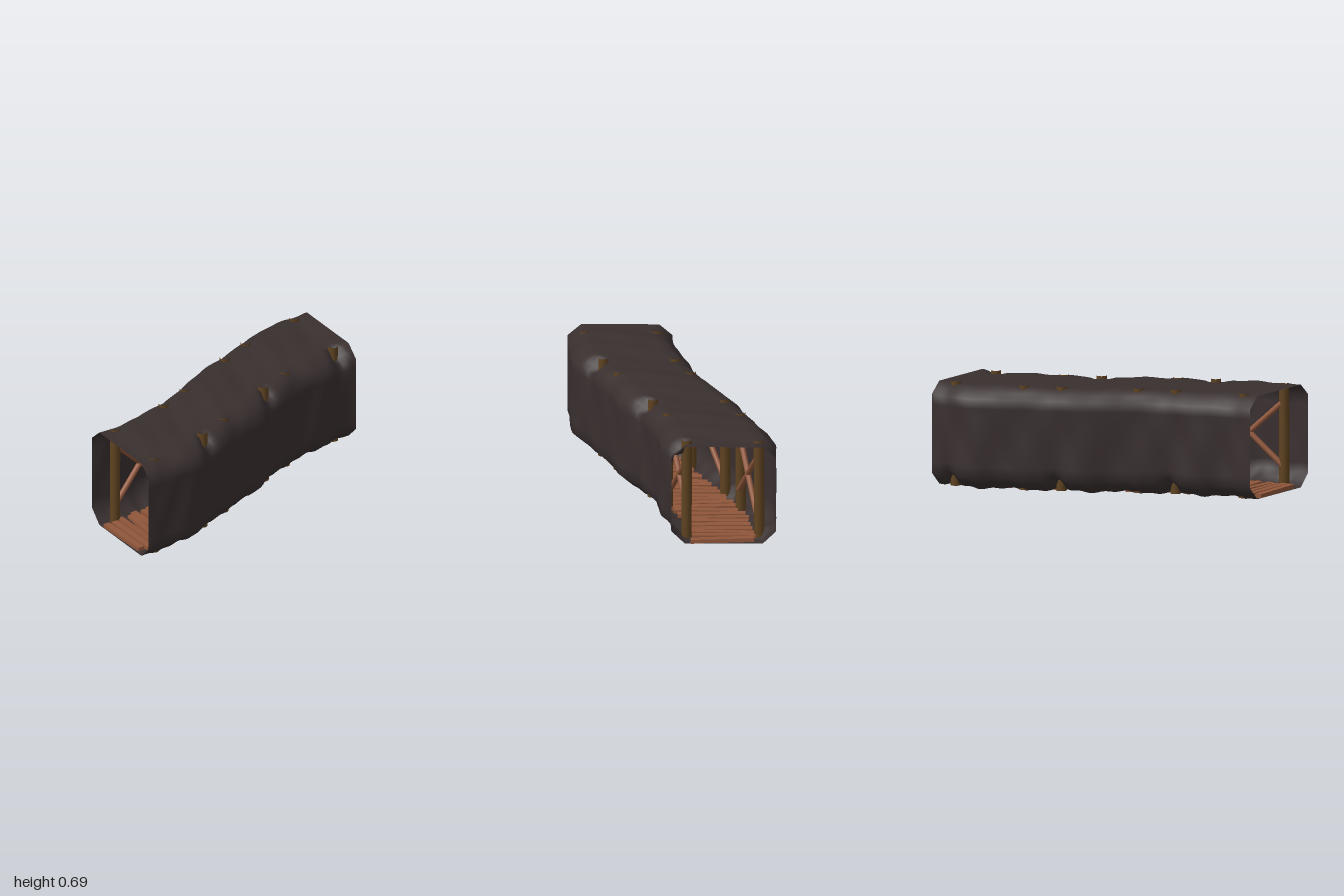
import * as THREE from 'three';

const PERIOD = 2 / 3; // length of one tunnel module

// Centre line of the S-bend
const centreZ = (x) => {
  const t = (x + 1) / 2;
  return 0.335 - 0.67 * t * t * (3 - 2 * t);
};

// Chamfered cross-section as [z offset, y], counted around the tunnel
const PROFILE = [
  [0.335, 0.1], [0.335, 0.61], [0.25, 0.685], [-0.25, 0.685],
  [-0.335, 0.61], [-0.335, 0.1], [-0.25, 0.016], [0.25, 0.016],
];

// Flat sides are divided more finely than the chamfers
function ringPoints() {
  const pts = [];
  PROFILE.forEach(([z, y], i) => {
    const [z2, y2] = PROFILE[(i + 1) % PROFILE.length];
    const n = i % 2 ? 2 : 8;
    for (let k = 0; k < n; k++) pts.push([z + ((z2 - z) * k) / n, y + ((y2 - y) * k) / n]);
  });
  return pts;
}

// Distance to the nearest repeat of a place along the tunnel
const away = (x, at) => {
  const d = (x - at) / PERIOD;
  return (d - Math.round(d)) * PERIOD;
};
const bell = (d, w) => Math.exp(-(d * d) / (w * w));

// Lumpy rock: bulging sides, a wavy roof and floor, dents at some posts
function rockPoint(x, z, y) {
  const fade = Math.min(1, (1 - Math.abs(x)) / 0.1);
  const s = (2 * Math.PI * x) / PERIOD;
  const side = z / 0.335;
  const bulge = (z > 0 ? 0.032 : 0.024) * bell(away(x, 0.04), 0.12)
    + 0.004 * Math.sin(2 * s + 9 * y + side) + 0.003 * Math.sin(3 * s - 14 * y);
  const crest = Math.max(0, 1 - Math.abs(z) / 0.3);
  const roof = -0.006 + 0.014 * crest * Math.cos(s + 1.2) + 0.003 * Math.sin(3 * s + 9 * z);
  const floor = 0.006 * Math.sin(2 * s + 8 * z) + 0.005 * Math.sin(5 * s - 13 * z);
  const dent = bell(away(x, 0.222), 0.05);
  const frontTop = 0.046 * dent * bell(Math.hypot(z - 0.29, y - 0.65), 0.07);
  const backLow = 0.024 * dent * bell(Math.hypot(z + 0.29, y - 0.06), 0.07);
  const dz = side * Math.abs(side) * bulge - frontTop + backLow;
  const dy = (y > 0.35 ? roof : floor) * Math.abs(y - 0.35) / 0.335 - frontTop + backLow;
  return [x, y + fade * dy, centreZ(x) + z + fade * dz];
}

function rockGeometry() {
  const ring = ringPoints(), n = ring.length, steps = 90;
  const pos = [], index = [];
  for (let i = 0; i <= steps; i++) {
    for (const [z, y] of ring) pos.push(...rockPoint(-1 + (2 * i) / steps, z, y));
  }
  for (let i = 0; i < steps; i++) {
    for (let k = 0; k < n; k++) {
      const a = i * n + k, b = i * n + ((k + 1) % n), c = a + n, d = b + n;
      index.push(a, c, b, b, c, d);
    }
  }
  const g = new THREE.BufferGeometry();
  g.setAttribute('position', new THREE.Float32BufferAttribute(pos, 3));
  g.setIndex(index);
  g.computeVertexNormals();
  return g;
}

// Round timber between two points, open at its ends
function timber(name, from, to, radius, material) {
  const dir = to.clone().sub(from);
  const mesh = new THREE.Mesh(new THREE.CylinderGeometry(radius, radius, dir.length(), 12, 1, true), material);
  mesh.position.copy(from).add(to).multiplyScalar(0.5);
  mesh.quaternion.setFromUnitVectors(new THREE.Vector3(0, 1, 0), dir.normalize());
  mesh.name = name;
  return mesh;
}

export function createModel() {
  const rock = new THREE.MeshStandardMaterial({ color: 0x392f2f, side: THREE.DoubleSide });
  rock.name = 'dark rock';
  const postWood = new THREE.MeshStandardMaterial({ color: 0x5e4220 });
  postWood.name = 'post wood';
  const redWood = new THREE.MeshStandardMaterial({ color: 0x8f563a });
  redWood.name = 'reddish wood';

  const model = new THREE.Group();
  model.name = 'tunnel';
  const shell = new THREE.Mesh(rockGeometry(), rock);
  shell.name = 'rockShell';
  model.add(shell);

  // Posts and crossed braces on both walls of each module
  const V = (x, y, off) => new THREE.Vector3(x, y, centreZ(x) + off);
  for (const mid of [-PERIOD, 0, PERIOD]) {
    const frame = new THREE.Group();
    frame.name = 'supportFrame';
    const x0 = mid - 0.222, x1 = mid + 0.222;
    for (const side of [-1, 1]) {
      for (const x of [x0, x1]) {
        frame.add(timber('post', V(x, 0.014, side * 0.233), V(x, 0.691, side * 0.23), 0.033, postWood));
      }
      for (const [ya, yb] of [[0.15, 0.57], [0.57, 0.15]]) {
        frame.add(timber('brace', V(x0, ya, side * 0.22), V(x1, yb, side * 0.22), 0.018, redWood));
      }
    }
    model.add(frame);
  }

  // Uneven floor planks, partly sunk in the rock
  let seed = 7;
  const rand = () => ((seed = (seed * 16807) % 2147483647) / 2147483647) - 0.5;
  const floor = new THREE.Group();
  floor.name = 'floorPlanks';
  const count = 34;
  for (let i = 0; i < count; i++) {
    const x = -0.97 + (1.94 * i) / (count - 1);
    const plank = new THREE.Mesh(new THREE.BoxGeometry(0.044, 0.026, 0.42 + 0.04 * rand()), redWood);
    plank.position.set(x, 0.027 + 0.006 * rand(), centreZ(x) + 0.03 * rand());
    plank.rotation.set(0.03 * rand(), 0.12 * rand(), 0.12 * rand());
    plank.name = 'plank';
    floor.add(plank);
  }
  model.add(floor);
  return model;
}
